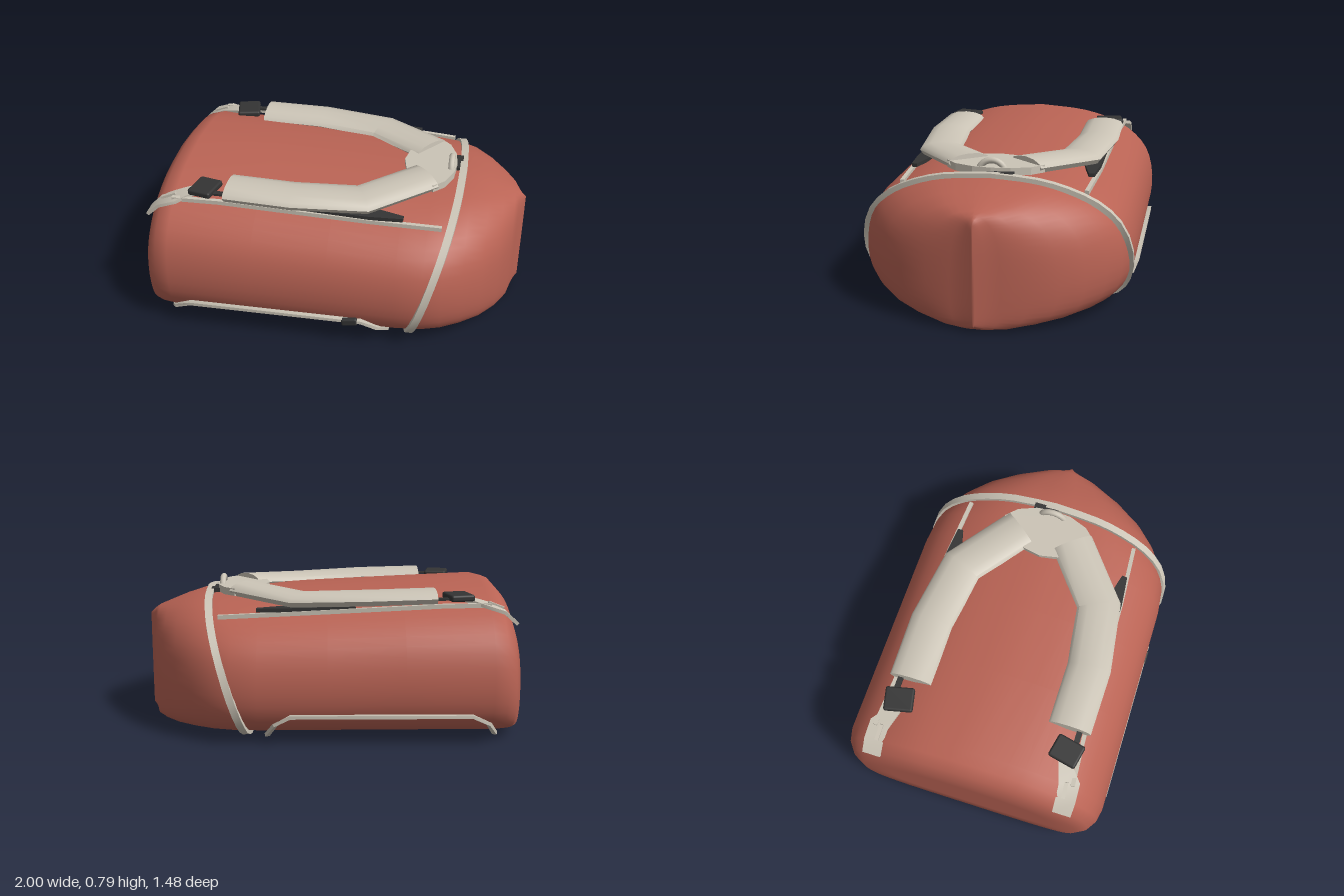
import * as THREE from 'three';
import { toCreasedNormals } from 'three/addons/utils/BufferGeometryUtils.js';
import { RoundedBoxGeometry } from 'three/addons/geometries/RoundedBoxGeometry.js';

const V = (x, y, z) => new THREE.Vector3(x, y, z);

// Skin over a row of equal-length rings, with optional end caps
function loft(rings, caps = true) {
  const n = rings[0].length, pos = [], index = [];
  rings.forEach(r => r.forEach(p => pos.push(p.x, p.y, p.z)));
  for (let i = 0; i < rings.length - 1; i++) for (let j = 0; j < n; j++) {
    const a = i * n + j, b = i * n + (j + 1) % n;
    index.push(a, b, b + n, a, b + n, a + n);
  }
  if (caps) for (let j = 1; j < n - 1; j++) {
    const e = (rings.length - 1) * n;
    index.push(0, j + 1, j, e, e + j, e + j + 1);
  }
  const g = new THREE.BufferGeometry();
  g.setAttribute('position', new THREE.Float32BufferAttribute(pos, 3));
  g.setIndex(index);
  g.computeVertexNormals();
  return g;
}

// Sweep a profile along path points, keeping its width horizontal
function sweep(path, widths, thick, profile) {
  const rings = path.map((p, i) => {
    const t = V(0, 0, 0);
    if (i > 0) t.add(p.clone().sub(path[i - 1]).normalize());
    if (i < path.length - 1) t.add(path[i + 1].clone().sub(p).normalize());
    t.normalize();
    const s = V(0, 1, 0).cross(t).normalize(), u = t.clone().cross(s);
    const w = Array.isArray(widths) ? widths[i] : widths;
    return profile.map(([a, b]) => p.clone().addScaledVector(s, a * w).addScaledVector(u, b * thick));
  });
  return toCreasedNormals(loft(rings), 0.7);
}

const FLAT = [[-0.5, -0.5], [0.5, -0.5], [0.5, 0.5], [-0.5, 0.5]];
const PAD = [[-0.42, -0.5], [0.42, -0.5], [0.5, -0.1], [0.44, 0.2], [0.25, 0.42], [0, 0.5],
  [-0.25, 0.42], [-0.44, 0.2], [-0.5, -0.1]];

// Body stations along x: x, half width, top, bottom
const STATIONS = [
  [-1, 0.001, 0.31, 0.3], [-1, 0.45, 0.5, 0.12], [-1, 0.62, 0.625, 0.012], [-0.97, 0.68, 0.71, 0.01],
  [-0.92, 0.715, 0.765, 0.01], [-0.85, 0.73, 0.783, 0.01], [-0.4, 0.73, 0.762, 0.01], [0, 0.73, 0.742, 0.01],
  [0.36, 0.73, 0.722, 0.01], [0.5, 0.715, 0.715, 0.01], [0.6, 0.68, 0.712, 0.01], [0.7, 0.615, 0.705, 0.01],
  [0.8, 0.52, 0.675, 0.01], [0.88, 0.4, 0.645, 0.01], [0.94, 0.26, 0.62, 0.01], [0.963, 0.13, 0.605, 0.012],
  [0.98, 0.06, 0.59, 0.025], [1, 0.008, 0.57, 0.04]];

// Half cross-section, from bottom centre to top centre
const HALF = new THREE.CatmullRomCurve3([[0, 0], [0.35, 0], [0.68, 0.02], [0.89, 0.09], [0.98, 0.22], [1, 0.44],
  [0.94, 0.66], [0.8, 0.81], [0.6, 0.91], [0.37, 0.97], [0, 1]].map(([z, y]) => V(0, y, z)));

function sectionPoint([x, w, top, bottom], t) {
  const p = HALF.getPoint(t < 0.5 ? 2 * t : 2 - 2 * t);
  return V(x, bottom + (top - bottom) * p.y, (t < 0.5 ? -1 : 1) * w * p.z);
}

function stationAt(x) {
  const i = STATIONS.findIndex(s => s[0] > x), a = STATIONS[i - 1], b = STATIONS[i];
  const k = (x - a[0]) / (b[0] - a[0]);
  return a.map((v, j) => v + (b[j] - v) * k);
}

export function createModel() {
  const model = new THREE.Group();
  const mat = (name, color, double) => {
    const m = new THREE.MeshStandardMaterial({ color });
    m.name = name;
    return m;
  };
  const red = mat('brick red fabric', 0xb96354);
  const grey = mat('warm grey webbing', 0xcbc4b6);
  const dark = mat('charcoal plastic', 0x343434);
  const add = (name, geometry, material, x = 0, y = 0, z = 0) => {
    const m = new THREE.Mesh(geometry, material);
    m.name = name;
    m.position.set(x, y, z);
    model.add(m);
    return m;
  };

  // Main bag
  const STEPS = 56;
  add('bagBody', loft(STATIONS.map(s =>
    Array.from({ length: STEPS }, (_, j) => sectionPoint(s, j / STEPS)))), red);

  // Slanted band around the bag
  const band = [];
  for (let j = 0; j <= 40; j++) {
    let p = V(0.5, 0.3, 0);
    for (let k = 0; k < 8; k++) p = sectionPoint(stationAt(0.41 + 0.335 * p.y), (j % 40) / 40);
    const n = V(0, (p.y - 0.36) / 0.13, p.z / 0.53).normalize();
    band.push([[-0.02, -0.02], [0.02, -0.02], [0.02, 0.022], [-0.02, 0.022]].map(([u, v]) => {
      const q = p.clone().addScaledVector(n, v);
      return V(q.x + u, Math.max(q.y, 0), q.z);
    }));
  }
  add('compressionBand', toCreasedNormals(loft(band, false), 0.7), grey);

  // Yoke joining the shoulder straps
  const yoke = new THREE.Shape([[0.32, 0], [0.34, 0.1], [0.42, 0.2], [0.5, 0.26], [0.56, 0.2], [0.6, 0.1], [0.61, 0],
    [0.6, -0.1], [0.56, -0.2], [0.5, -0.26], [0.42, -0.2], [0.34, -0.1]].map(([x, y]) => new THREE.Vector2(x, y)));
  add('strapYoke', new THREE.ExtrudeGeometry(yoke, { depth: 0.04, bevelEnabled: false }), grey, 0, 0.745, 0)
    .rotation.x = Math.PI / 2;
  add('yokeAnchor', new THREE.BoxGeometry(0.06, 0.03, 0.14), dark, 0.61, 0.712, -0.05);

  // Standing grab loop
  const loop = add('grabLoop', new THREE.TorusGeometry(0.072, 0.017, 10, 20, Math.PI), grey, 0.58, 0.705, 0);
  loop.rotation.y = Math.PI / 2;

  for (const s of [1, -1]) {
    const side = s > 0 ? 'front' : 'back';
    const path = pts => pts.map(([x, y, z]) => V(x, y, z * s));

    // Padded shoulder strap
    add(side + 'ShoulderPad', sweep(path([[-0.57, 0.74, 0.44], [-0.22, 0.73, 0.445], [0.145, 0.715, 0.395],
      [0.455, 0.738, 0.152]]), [0.23, 0.235, 0.245, 0.235], 0.068, PAD), grey);

    // Buckle and its short webbing
    const buckle = add(side + 'StrapBuckle', new RoundedBoxGeometry(0.13, 0.035, 0.155, 2, 0.012), dark, -0.69, 0.733, 0.46 * s);
    buckle.rotation.y = 0.22 * -s;
    add(side + 'BuckleWebbing', new THREE.BoxGeometry(0.12, 0.012, 0.03), dark, -0.6, 0.725, 0.495 * s);

    // Tail strap over the end of the bag
    add(side + 'TailStrap', sweep(path([[-0.985, 0.605, 0.525], [-0.92, 0.665, 0.525], [-0.84, 0.695, 0.52],
      [-0.78, 0.71, 0.485], [-0.7, 0.725, 0.46]]), [0.1, 0.105, 0.11, 0.08, 0.08], 0.018, FLAT), grey);
    add(side + 'TailKeeper', sweep(path([[-0.92, 0.68, 0.51], [-0.84, 0.71, 0.505]]), 0.02, 0.014, FLAT), grey);

    // Long side piping with a dark gusset under the pad
    add(side + 'SidePiping', sweep(path([[-0.85, 0.7, 0.54], [-0.6, 0.693, 0.525], [0.2, 0.652, 0.51],
      [0.57, 0.631, 0.488]]), 0.022, 0.022, FLAT), grey);
    add(side + 'PadGusset', sweep(path([[-0.15, 0.68, 0.48], [0.2, 0.672, 0.47], [0.37, 0.667, 0.485]]),
      [0.07, 0.09, 0.03], 0.02, FLAT), dark);

    // Low carry handle
    add(side + 'CarryHandle', sweep(path([[-0.88, 0.03, 0.6], [-0.83, 0.11, 0.7], [-0.74, 0.158, 0.727],
      [0.19, 0.158, 0.727], [0.27, 0.11, 0.705], [0.315, 0.025, 0.6]]), 0.025, 0.018, FLAT), grey);
  }

  // Handle buckle, front only
  add('handleBuckle', new RoundedBoxGeometry(0.085, 0.042, 0.03, 2, 0.01), dark, 0.13, 0.152, 0.73).rotation.z = 0.15;

  return model;
}
